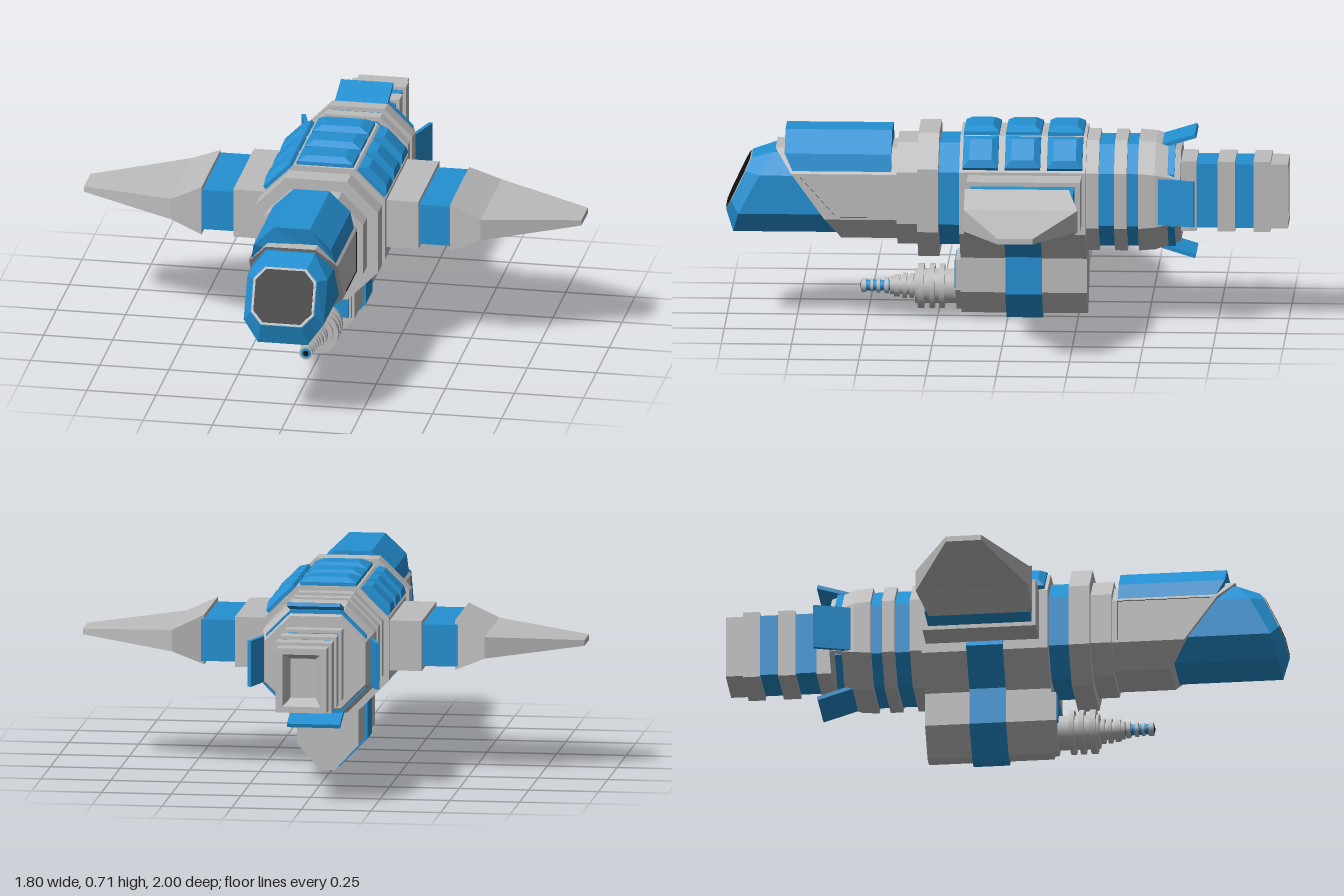
import * as THREE from 'three';

const mat = (name, color) => Object.assign(new THREE.MeshStandardMaterial({ color }), { name });

// Skin between rings of points (front to back, anticlockwise seen from the front), with end caps
function loft(rings) {
  const p = [];
  const tri = (a, b, c) => p.push(...a, ...b, ...c);
  const n = rings[0].length;
  for (let r = 0; r < rings.length - 1; r++) {
    for (let i = 0; i < n; i++) {
      const j = (i + 1) % n;
      const [a, b, c, d] = [rings[r][i], rings[r][j], rings[r + 1][j], rings[r + 1][i]];
      tri(a, d, b);
      tri(b, d, c);
    }
  }
  const f = rings[0], l = rings[rings.length - 1];
  for (let i = 1; i < n - 1; i++) {
    tri(f[0], f[i], f[i + 1]);
    tri(l[0], l[i + 1], l[i]);
  }
  const g = new THREE.BufferGeometry();
  g.setAttribute('position', new THREE.Float32BufferAttribute(p, 3));
  g.computeVertexNormals();
  return g;
}

const at = (pts, z) => pts.map(([x, y]) => [x, y, typeof z === 'function' ? z(y) : z]);
const oct = (w, y0, y1, h = w * 0.5, c = w * 0.5) => [
  [w, y0 + c], [w, y1 - c], [h, y1], [-h, y1], [-w, y1 - c], [-w, y0 + c], [-h, y0], [h, y0]];
const rect = (x0, x1, y0, y1) => [[x1, y0], [x1, y1], [x0, y1], [x0, y0]];
const prism = (pts, z1, z0) => loft([at(pts, z1), at(pts, z0)]);
const mirror = pts => pts.map(([x, ...r]) => [-x, ...r]).reverse();

export function createModel() {
  const root = new THREE.Group();
  root.name = 'spacecraft';
  const blue = mat('blue', 0x2490d2);
  const gray = mat('lightGray', 0xbdbdbd);
  const black = mat('glassBlack', 0x101010);
  const add = (name, geo, m, parent = root) => {
    const mesh = new THREE.Mesh(geo, m);
    mesh.name = name;
    parent.add(mesh);
    return mesh;
  };

  // Hull: blue core with gray octagonal rings
  add('hullCore', prism(oct(0.18, 0.28, 0.65), 0.3, -0.6), blue);
  add('mainBody', prism(oct(0.22, 0.235, 0.68), 0.165, -0.285), gray);
  add('collar', prism(oct(0.222, 0.24, 0.69), 0.315, 0.24), gray);
  add('neckRing', prism(oct(0.182, 0.28, 0.65), 0.39, 0.31), gray);
  for (const [a, b] of [[-0.285, -0.33], [-0.385, -0.43]]) {
    add('rearRing', prism(oct(0.2, 0.265, 0.665), a, b), gray);
  }
  add('tailShroud', loft([
    at(oct(0.2, 0.265, 0.665), -0.47), at(oct(0.2, 0.27, 0.66), -0.53),
    at(oct(0.18, 0.3, 0.63), -0.62)]), gray);

  // Cockpit shell with a raked front edge
  const rake = y => 0.59 + (y - 0.3) * 0.72;
  const shell = oct(0.16, 0.3, 0.625, 0.09, 0.08);
  add('cockpitShell', loft([at(shell, rake), at(shell, 0.38)]), gray);
  const dome = [[0.153, 0.55], [0.14, 0.615], [0.065, 0.688], [-0.065, 0.688], [-0.14, 0.615], [-0.153, 0.55]];
  add('canopy', loft([at(dome, y => (y < 0.56 ? 0.76 : 0.79)), at(dome, 0.41)]), blue);
  for (const s of [-1, 1]) {
    const w = [[0.74, 0.54], [0.41, 0.54], [0.41, 0.39], [0.605, 0.39]];
    const o = w.map(([z, y]) => [0.164, y, z]);
    const i = w.map(([z, y]) => [0.156, y, z]);
    add('sideWindow', loft(s > 0 ? [o.slice().reverse(), i.slice().reverse()].reverse().map(r => r.reverse()).reverse()
      : [mirror(o).reverse(), mirror(i).reverse()].map(r => r.reverse())), black);
  }

  // Nose with raked front window
  const face = (k, d) => oct(0.115 * k, 0.49 - 0.095 * k, 0.49 + 0.095 * k, 0.075 * k, 0.04 * k)
    .map(([x, y]) => [x, y + d * 0.43, 1 - (y - 0.395) * 0.474 + d * 0.9]);
  const mid = oct(0.145, 0.32, 0.61, 0.09, 0.075).map(([x, y]) =>
    [x, y, y > 0.6 ? 0.83 : y > 0.5 ? 0.88 : y > 0.35 ? 0.955 : 0.975]);
  add('nose', loft([face(1, 0), mid, at(oct(0.145, 0.32, 0.61, 0.09, 0.075), 0.5)]), blue);
  add('noseWindowRim', loft([face(0.98, 0.003), face(0.98, -0.001)]), gray);
  add('noseWindow', loft([face(0.91, 0.006), face(0.91, 0)]), black);

  // Bevelled panels on the back, three rows of three
  const panel = loft([at(rect(-0.045, 0.045, -0.04, 0.04), 0.035),
    at(rect(-0.068, 0.068, -0.063, 0.063), 0.018), at(rect(-0.068, 0.068, -0.063, 0.063), -0.01)]);
  panel.rotateX(-Math.PI / 2);
  for (const z of [0.09, -0.06, -0.21]) {
    const top = add('topPanel', panel, blue);
    top.position.set(0, 0.675, z);
    top.scale.x = 1.5;
    for (const s of [-1, 1]) {
      const side = add('shoulderPanel', panel, blue);
      side.position.set(s * 0.162, 0.622, z);
      side.rotation.z = -s * Math.PI / 4;
    }
  }

  // Wings: root block, blue joint, tapering blade
  for (const s of [-1, 1]) {
    const wing = new THREE.Group();
    wing.name = s > 0 ? 'leftWing' : 'rightWing';
    wing.rotation.y = s * Math.PI / 2;
    root.add(wing);
    const sec = (x, z0, z1, y0, y1) => at(s > 0 ? rect(-z1, -z0, y0, y1) : rect(z0, z1, y0, y1), x);
    add('wingRoot', loft([sec(0.335, -0.27, 0.135, 0.38, 0.56), sec(0.2, -0.27, 0.135, 0.38, 0.56)]), gray, wing);
    add('wingJoint', loft([sec(0.46, -0.25, 0.12, 0.395, 0.545), sec(0.33, -0.25, 0.12, 0.395, 0.545)]), blue, wing);
    add('wingBlade', loft([sec(0.9, -0.125, 0, 0.459, 0.479), sec(0.56, -0.27, 0.135, 0.43, 0.508),
      sec(0.45, -0.235, 0.135, 0.38, 0.56)]), gray, wing);
  }

  // Belly pod with a blue strap
  const pod = (w, y, h, b) => [[w, y], [w, 0.26], [-w, 0.26], [-w, y], [-h, b], [h, b]];
  add('bellyPod', prism(pod(0.11, 0.11, 0.025, 0.018), 0.165, -0.285), gray);
  add('podFront', prism(pod(0.1, 0.115, 0.025, 0.03).map(([x, y]) => [x, Math.min(y, 0.225)]), 0.183, 0.16), gray);
  add('podFacePlate', prism(rect(-0.092, 0.092, 0.12, 0.218), 0.187, 0.18), blue);
  add('podStrap', prism(pod(0.121, 0.105, 0.02, 0), 0.005, -0.125), blue);
  const arm = [[0.115, 0.235], [0.236, 0.358], [0.222, 0.38], [0.1, 0.26]];
  add('strapArmLeft', prism(arm, 0.005, -0.125), blue);
  add('strapArmRight', prism(mirror(arm), 0.005, -0.125), blue);

  // Gun: stepped barrel of [back, front, radius, material]
  const gun = new THREE.Group();
  gun.name = 'gun';
  gun.position.y = 0.108;
  root.add(gun);
  const steps = [
    [0.17, 0.33, 0.062, gray], [0.225, 0.243, 0.08, gray], [0.26, 0.278, 0.08, gray], [0.298, 0.32, 0.08, gray],
    [0.32, 0.42, 0.032, gray], [0.335, 0.35, 0.045, gray], [0.36, 0.375, 0.045, gray], [0.385, 0.405, 0.04, gray],
    [0.41, 0.51, 0.019, blue], [0.425, 0.44, 0.029, gray], [0.455, 0.468, 0.026, gray],
    [0.48, 0.49, 0.024, gray], [0.505, 0.522, 0.025, gray], [0.515, 0.524, 0.018, blue], [0.52, 0.526, 0.01, black]];
  for (const [a, b, r, m] of steps) {
    const c = add('barrelSection', new THREE.CylinderGeometry(r, r, b - a, 20), m, gun);
    c.rotation.x = Math.PI / 2;
    c.position.z = (a + b) / 2;
  }

  // Tail boom with gray bands and a hollow rectangular nozzle
  const box = k => rect(-0.09 + k, 0.09 - k, 0.348 + k, 0.58 - k);
  add('tailBoom', prism(box(0), -0.6, -0.9), blue);
  for (const [a, b] of [[-0.6, -0.675], [-0.75, -0.812], [-0.877, -0.938]]) {
    add('tailBand', prism(box(-0.011), a, b), gray);
  }
  add('nozzle', loft([at(box(0), -0.93), at(box(0), -1), at(box(0.022), -1), at(box(0.045), -0.945)]), gray);

  // Four flared flaps around the tail shroud
  for (let k = 0; k < 4; k++) {
    const pivot = new THREE.Group();
    pivot.name = 'tailFlap';
    pivot.position.y = 0.463;
    pivot.rotation.z = k * Math.PI / 2;
    root.add(pivot);
    const flap = add('flapPlate', new THREE.BoxGeometry(k % 2 ? 0.165 : 0.19, 0.014, 0.15), blue, pivot);
    flap.position.set(0, k % 2 ? 0.208 : 0.197, -0.6);
    flap.rotation.x = 0.3;
  }
  return root;
}
